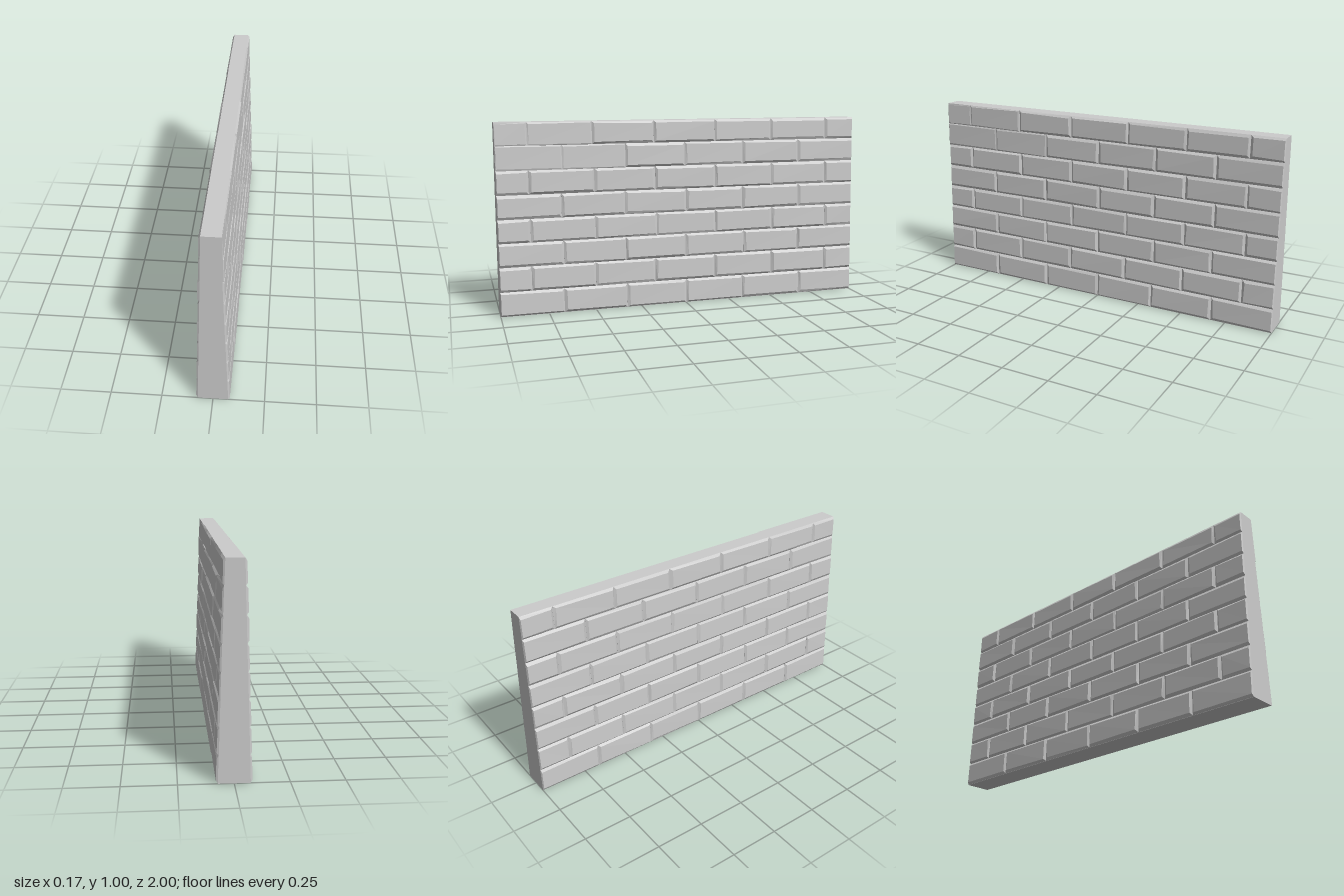
import * as THREE from 'three';
import { mergeGeometries } from 'three/addons/utils/BufferGeometryUtils.js';

let seed = 7;
const jitter = (amount) => {
  seed = (seed * 16807) % 2147483647;
  return (seed / 2147483647 * 2 - 1) * amount;
};

// Half thickness of the tapered wall at height y
const halfThickness = (y) => 0.082 - 0.031 * y;
const CORE_INSET = 0.011;

// One bevelled brick: buried skirt ring, groove ring and raised face ring
function brick(side, y0, y1, z0, z1, depth) {
  const corners = [[z1, y0], [z0, y0], [z0, y1], [z1, y1]];
  const cz = (z0 + z1) / 2, cy = (y0 + y1) / 2;
  const lift = jitter(0.0015);
  const bevel = 0.004 + depth;
  const positions = [];
  for (let ring = 0; ring < 3; ring++) {
    for (const [z, y] of corners) {
      const inset = ring === 2 ? 1 : 0;
      const insetZ = inset * (Math.abs(z) > 0.99 ? 0.004 : bevel + jitter(0.003));
      const insetY = inset * (bevel + jitter(0.003));
      const yy = y + Math.sign(cy - y) * insetY;
      const zz = z + Math.sign(cz - z) * insetZ;
      const sink = [CORE_INSET + 0.002, depth, -lift + jitter(0.001)][ring];
      positions.push(side * (halfThickness(yy) - sink), yy, zz);
    }
  }
  const index = [8, 9, 10, 8, 10, 11];
  for (let ring = 0; ring < 2; ring++) {
    for (let i = 0; i < 4; i++) {
      const a = ring * 4 + i, b = ring * 4 + (i + 1) % 4;
      index.push(a, b, b + 4, a, b + 4, a + 4);
    }
  }
  if (side < 0) index.reverse();
  const geometry = new THREE.BufferGeometry();
  geometry.setAttribute('position', new THREE.Float32BufferAttribute(positions, 3));
  geometry.setIndex(index);
  const flat = geometry.toNonIndexed();
  flat.computeVertexNormals();
  return flat;
}

// Eight courses of running bond on one face of the wall
function brickFace(side) {
  const rows = [0.002, 0.13, 0.258, 0.383, 0.506, 0.631, 0.756, 0.882, 1];
  const bricks = [];
  for (let r = 0; r < 8; r++) {
    const joints = [-1];
    const start = r % 2 ? -5 / 6 : -2 / 3;
    for (let z = start; z < 0.95; z += 1 / 3) joints.push(z + jitter(0.006));
    joints.push(1);
    for (let i = 0; i < joints.length - 1; i++) {
      // Worn corner, where the mortar is nearly flush
      const worn = side > 0 && r > 5 && joints[i] > 0.3;
      const depth = worn ? 0.003 : 0.009 + jitter(0.001);
      bricks.push(brick(side, rows[r], rows[r + 1], joints[i], joints[i + 1], depth));
    }
  }
  return mergeGeometries(bricks);
}

export function createModel() {
  const group = new THREE.Group();
  group.name = 'brickWall';
  const stone = new THREE.MeshStandardMaterial({ color: 0xcccccc });
  stone.name = 'light grey stone';

  // Tapered core, showing at the ends, top and bottom
  const coreGeometry = new THREE.BoxGeometry(2, 1, 2).translate(0, 0.5, 0);
  const p = coreGeometry.attributes.position;
  for (let i = 0; i < p.count; i++) {
    p.setX(i, p.getX(i) * (halfThickness(p.getY(i)) - CORE_INSET));
  }
  coreGeometry.computeVertexNormals();
  const core = new THREE.Mesh(coreGeometry, stone);
  core.name = 'wallCore';
  group.add(core);

  // Brick courses on both long faces
  for (const [side, name] of [[1, 'leftBricks'], [-1, 'rightBricks']]) {
    const face = new THREE.Mesh(brickFace(side), stone);
    face.name = name;
    group.add(face);
  }
  return group;
}
